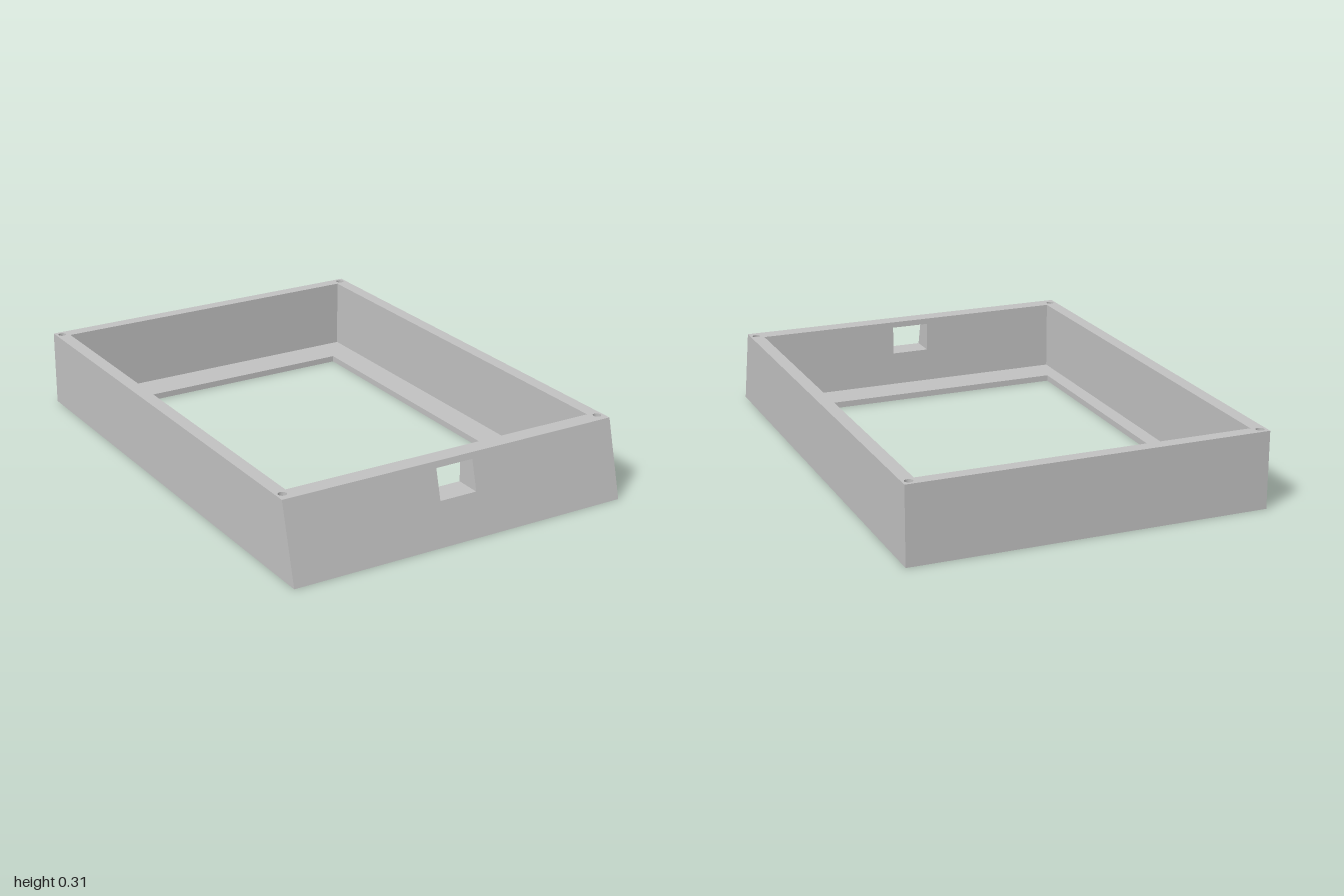
import * as THREE from 'three';

const H = 0.305, FLOOR = 0.025, W = 0.708;
const frontZ = (y) => 1 - 0.08 * (y / H); // sloping front face

// corner list of a rectangle, counter-clockwise in its own plane
const rect = (u0, u1, v0, v1) => [[u0, v0], [u1, v0], [u1, v1], [u0, v1]];
const circle = (u, v, r, n = 24) => Array.from({ length: n }, (_, i) => {
  const a = (i / n) * Math.PI * 2;
  return [u + r * Math.cos(a), v + r * Math.sin(a)];
});
const toVec = (pts) => pts.map(([u, v]) => new THREE.Vector2(u, v));

// flat face with holes, placed in space by map(u, v)
function sheet(outline, holes, map, flip = false) {
  const shape = new THREE.Shape(toVec(outline));
  holes.forEach((h) => shape.holes.push(new THREE.Path(toVec(h))));
  const g = new THREE.ShapeGeometry(shape).toNonIndexed();
  const p = g.attributes.position, out = [];
  for (let i = 0; i < p.count; i += 3) {
    (flip ? [i, i + 2, i + 1] : [i, i + 1, i + 2]).forEach((k) => out.push(...map(p.getX(k), p.getY(k))));
  }
  return fromTriangles(out);
}

// band of quads between two matching loops, facing the inside of the loop
function band(a, b, flip = false, skip = -1) {
  const out = [];
  a.forEach((_, i) => {
    if (i === skip) return;
    const j = (i + 1) % a.length;
    const t = flip ? [a[i], b[j], a[j], a[i], b[i], b[j]] : [a[i], a[j], b[j], a[i], b[j], b[i]];
    t.forEach((q) => out.push(...q));
  });
  return fromTriangles(out);
}

function fromTriangles(values) {
  const g = new THREE.BufferGeometry();
  g.setAttribute('position', new THREE.Float32BufferAttribute(values, 3));
  g.computeVertexNormals();
  return g;
}

export function createModel() {
  const model = new THREE.Group();
  model.name = 'openFrameBox';
  const grey = new THREE.MeshStandardMaterial({ color: 0xc0c0c0 });
  grey.name = 'grey';
  const add = (name, geometry) => {
    const m = new THREE.Mesh(geometry, grey);
    m.name = name;
    model.add(m);
  };
  const level = (y) => (x, z) => [x, y, z];
  const at = (pts, y) => pts.map(([x, z]) => [x, y, z]);

  const base = rect(-W, W, -1, frontZ(0));
  const rim = rect(-W, W, -1, frontZ(H));
  const cavity = rect(-0.655, 0.655, -0.948, 0.852);
  const opening = rect(-0.594, 0.543, -0.8, 0.705);
  const port = rect(-0.079, 0.077, 0.164, 0.281);
  const screws = [-0.682, 0.682].flatMap((x) => [-0.971, 0.878].map((z) => circle(x, z, 0.016)));

  // horizontal faces
  add('topRim', sheet(rim, [cavity, ...screws], level(H), true));
  add('floorLedge', sheet(cavity, [opening], level(FLOOR), true));
  add('underside', sheet(base, [opening], level(0)));

  // outer and inner walls, the front ones pierced by the port
  add('outerWalls', band(at(base, 0), at(rim, H), true, 2));
  add('frontPanel', sheet(rect(-W, W, 0, H), [port], (x, y) => [x, y, frontZ(y)]));
  add('innerWalls', band(at(cavity, FLOOR), at(cavity, H), false, 2));
  add('innerFrontWall', sheet(rect(-0.655, 0.655, FLOOR, H), [port], (x, y) => [x, y, 0.852], true));

  // edges of the floor opening and the cable port
  add('openingEdge', band(at(opening, 0), at(opening, FLOOR)));
  add('portTunnel', band(port.map(([x, y]) => [x, y, frontZ(y)]), port.map(([x, y]) => [x, y, 0.852])));

  // blind screw holes in the corners
  const depth = 0.12;
  screws.forEach((c) => {
    add('screwHoleWall', band(at(c, H - depth), at(c, H)));
    add('screwHoleBottom', sheet(c, [], level(H - depth), true));
  });
  return model;
}
